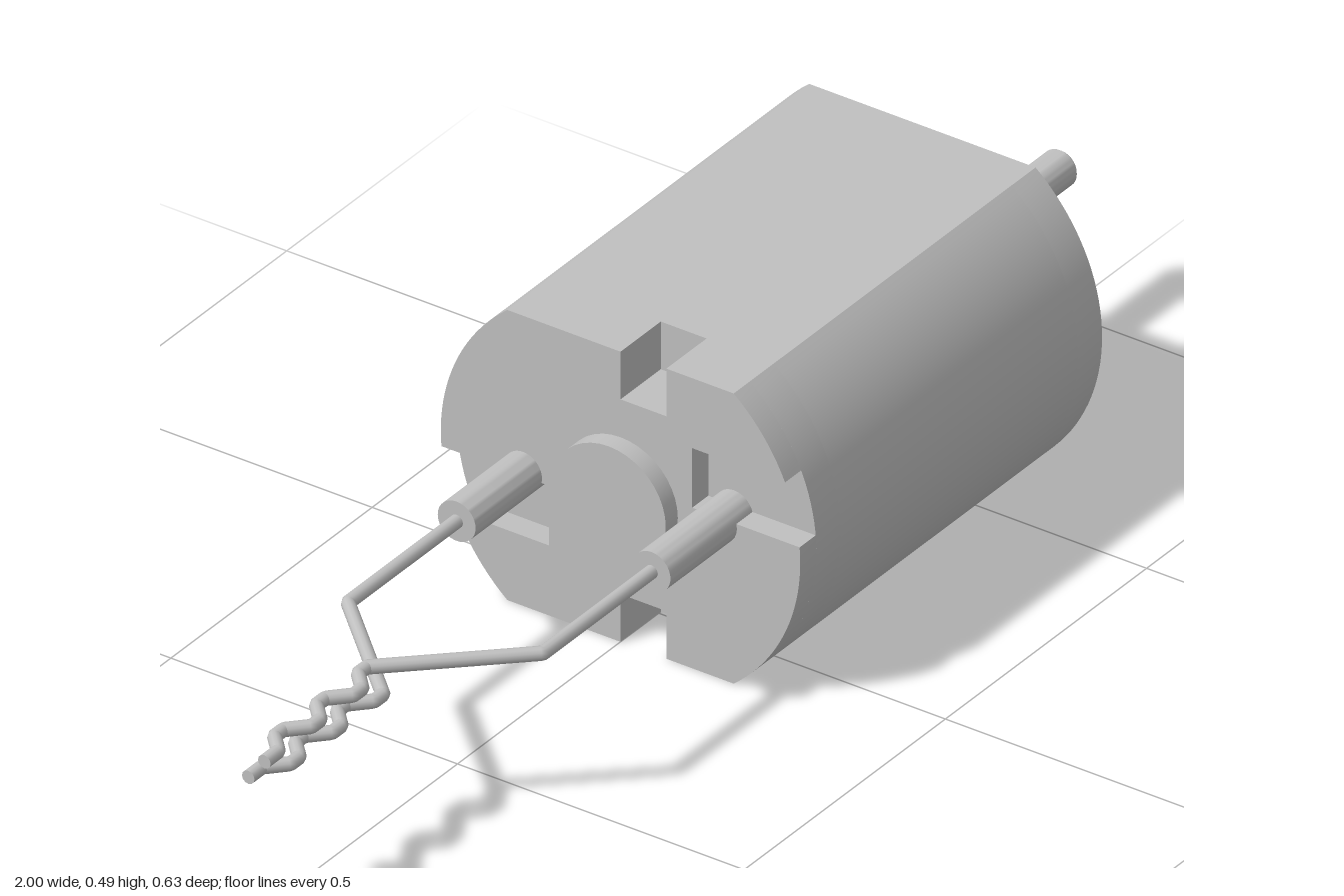
import * as THREE from 'three';
import { toCreasedNormals } from 'three/addons/utils/BufferGeometryUtils.js';

const R = 0.3135, H = 0.2435;      // can radius and half height between its flats
const A = Math.asin(H / R);        // angle where the round side meets a flat

// Cross-section of the can (u = -z, v = height from the axis), with optional notches
function outline(sideSlots, flatSlots) {
  const pts = [];
  const add = (u, v) => pts.push(new THREE.Vector2(u, v));
  const arc = (from, to) => {
    const n = Math.ceil(Math.abs(to - from) / 0.05);
    for (let i = 0; i <= n; i++) {
      const t = from + (to - from) * i / n;
      add(R * Math.cos(t), R * Math.sin(t));
    }
  };
  const lo = 0.026, hi = 0.126, inner = 0.125, depth = 0.08;
  const t0 = Math.asin(lo / R), t1 = Math.asin(hi / R);
  // the two round sides, each the other turned by half a turn
  const side = (s) => {
    const turn = s > 0 ? 0 : Math.PI;
    if (!sideSlots) return arc(turn - A, turn + A);
    arc(turn - A, turn - t1);
    add(s * inner, -s * hi);
    add(s * inner, -s * lo);
    arc(turn - t0, turn + A);
  };
  side(1);
  if (flatSlots) { add(0, H); add(0, H - depth); add(-0.08, H - depth); add(-0.08, H); }
  side(-1);
  if (flatSlots) { add(-0.08, -H); add(-0.08, depth - H); add(0, depth - H); add(0, -H); }
  return new THREE.Shape(pts);
}

export function createModel() {
  const model = new THREE.Group();
  const metal = new THREE.MeshStandardMaterial({ color: 0xc0c0c0 });
  metal.name = 'plain grey';

  const add = (name, geometry) => {
    const mesh = new THREE.Mesh(geometry, metal);
    mesh.name = name;
    model.add(mesh);
    return mesh;
  };

  // Slice of the can between two x positions
  const slice = (name, shape, x0, x1) => {
    const g = new THREE.ExtrudeGeometry(shape, { depth: x1 - x0, bevelEnabled: false, curveSegments: 20 });
    g.rotateY(Math.PI / 2).translate(x0, H, 0);
    add(name, toCreasedNormals(g, 0.5));
  };

  // Solid of revolution along x: points are [x, radius]
  const turned = (name, points, y = H, z = 0) => {
    const g = new THREE.LatheGeometry(points.map(([x, r]) => new THREE.Vector2(r, x)), 40);
    g.rotateZ(-Math.PI / 2).translate(0, y, z);
    add(name, toCreasedNormals(g, 0.5));
  };
  const rod = (name, x0, x1, r, y, z) => turned(name, [[x0, 0], [x0, r], [x1, r], [x1, 0]], y, z);

  // Can: notched rear end, plain middle, front plate with blind holes
  slice('rearCap', outline(true, true), -0.095, -0.055);
  slice('rearCollar', outline(false, true), -0.055, 0.005);
  slice('can', outline(false, false), 0.005, 0.595);
  const plate = outline(false, false);
  for (const [z, y, r] of [[0.176, 0.346, 0.033], [-0.176, 0.142, 0.033], [0, 0.081, 0.031]]) {
    plate.holes.push(new THREE.Path().absarc(-z, y - H, r, 0, Math.PI * 2, true));
  }
  slice('frontPlate', plate, 0.595, 0.655);

  // Bearings and shaft
  rod('frontBearing', 0.65, 0.72, 0.095);
  rod('rearBearing', -0.125, -0.05, 0.1);
  turned('shaft', [[0.7, 0], [0.7, 0.03], [0.996, 0.03], [1, 0.027], [1, 0]]);

  // Leads: a sleeve, a bent wire and a zigzag twist on each side
  for (const s of [1, -1]) {
    const y = H + s * 0.018, name = s > 0 ? 'left' : 'right';
    rod(name + 'Sleeve', -0.26, -0.05, 0.033, y, s * 0.17);

    const path = [[-0.25, 0.17], [-0.53, 0.17], [-0.705, -0.014]];
    let x = -0.705, z = -0.014;
    for (let i = 0; i < 5; i++) {
      path.push([x -= 0.022, z]);
      path.push([x -= 0.03, z = -z]);
    }
    path.push([-1, z]);

    const pts = path.map(([px, pz]) => new THREE.Vector3(px, y, s * pz));
    const curve = new THREE.CurvePath();
    for (let i = 1; i < pts.length; i++) curve.add(new THREE.LineCurve3(pts[i - 1], pts[i]));
    add(name + 'Wire', new THREE.TubeGeometry(curve, 240, 0.011, 12));
    const end = new THREE.CircleGeometry(0.011, 12).rotateY(-Math.PI / 2);
    add(name + 'WireEnd', end.translate(-1, y, s * z));
  }
  return model;
}
